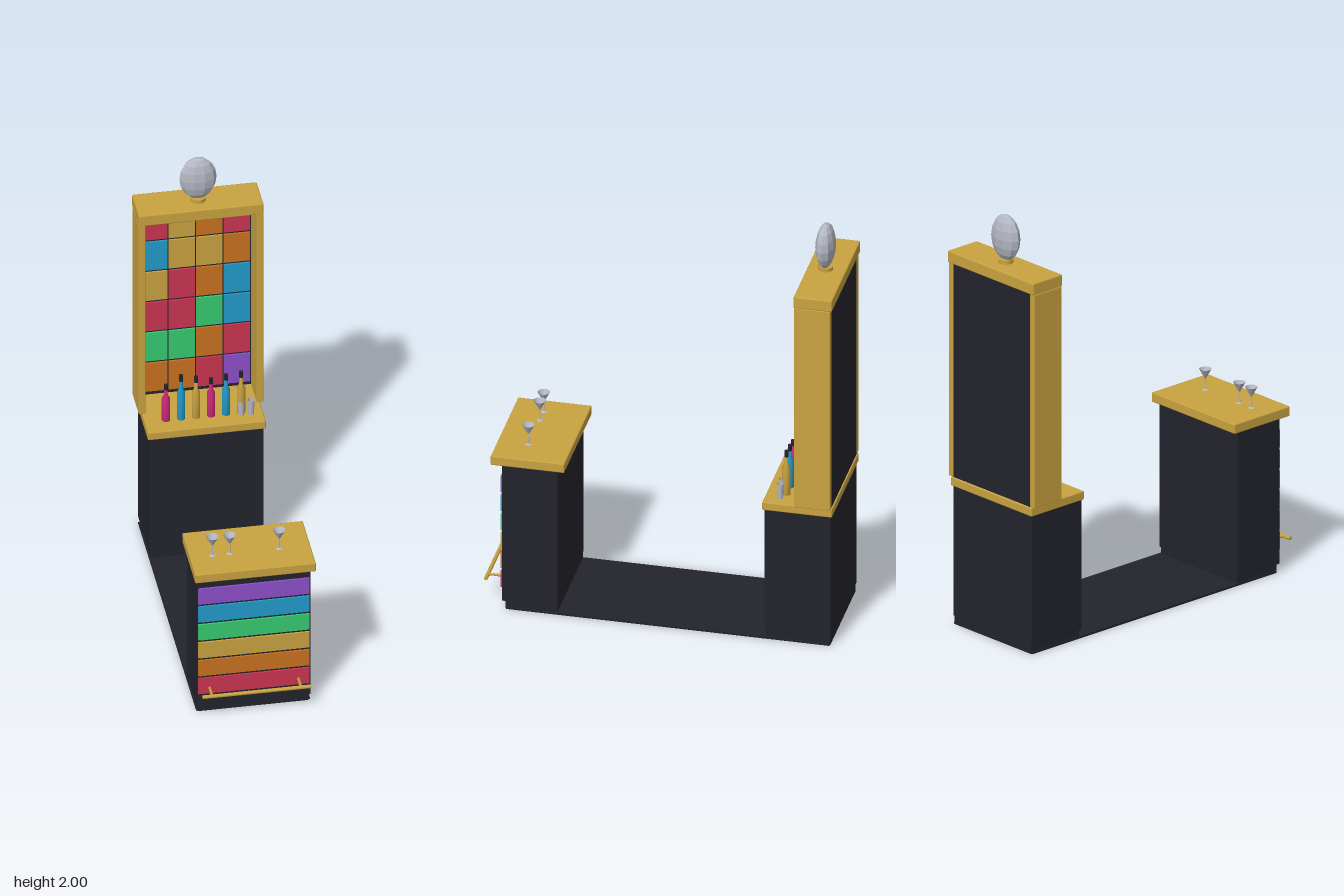
import * as THREE from 'three';
import { RoundedBoxGeometry } from 'three/addons/geometries/RoundedBoxGeometry.js';

const mat = (name, color, extra = {}) => {
  const m = new THREE.MeshStandardMaterial({ color, ...extra });
  m.name = name;
  return m;
};

export function createModel() {
  const root = new THREE.Group();
  root.name = 'cocktailBar';
  const dark = mat('dark lacquer', 0x23232d);
  const gold = mat('gold', 0xc9a340);
  const red = mat('red', 0xcb3550);
  const orange = mat('orange', 0xc97120);
  const green = mat('green', 0x36cb70);
  const blue = mat('blue', 0x229bcb);
  const purple = mat('purple', 0x8e50cb);
  const magenta = mat('magenta', 0xcf2a7c);
  const silver = mat('silver', 0xb4b8c2, { flatShading: true, side: THREE.DoubleSide });

  const add = (name, geo, material, x = 0, y = 0, z = 0, parent = root) => {
    const m = new THREE.Mesh(geo, material);
    m.name = name;
    m.position.set(x, y, z);
    parent.add(m);
    return m;
  };
  // Box given by its extents on each axis; bevel rounds the edges slightly
  const box = (name, material, [x0, x1], [y0, y1], [z0, z1], bevel = 0) => {
    const s = [x1 - x0, y1 - y0, z1 - z0];
    const geo = bevel ? new RoundedBoxGeometry(...s, 1, bevel) : new THREE.BoxGeometry(...s);
    return add(name, geo, material, (x0 + x1) / 2, (y0 + y1) / 2, (z0 + z1) / 2);
  };
  const lathe = (pts, seg) =>
    new THREE.LatheGeometry(pts.map(([r, y]) => new THREE.Vector2(r, y)), seg);

  // Floor slab joining the two counters
  box('floor', dark, [-0.256, 0.256], [0, 0.01], [-0.78, 0.69]);

  // Front bar
  box('barPlinth', dark, [-0.25, 0.25], [0, 0.042], [0.458, 0.695]);
  box('barBody', dark, [-0.256, 0.256], [0.04, 0.735], [0.457, 0.708]);
  box('barTop', gold, [-0.272, 0.272], [0.733, 0.78], [0.422, 0.758], 0.006);
  [red, orange, gold, green, blue, purple].forEach((m, i) => {
    const y = 0.147 + i * 0.0967;
    box('barStripe', m, [-0.25, 0.25], [y - 0.042, y + 0.042], [0.707, 0.716]);
  });

  // Foot rail with two brackets
  add('footRail', new THREE.CylinderGeometry(0.009, 0.009, 0.488, 10), gold, 0, 0.136, 0.785)
    .rotation.z = Math.PI / 2;
  for (const x of [-0.2, 0.2]) {
    add('railBracket', new THREE.CylinderGeometry(0.006, 0.006, 0.08, 8), gold, x, 0.136, 0.745)
      .rotation.x = Math.PI / 2;
  }

  // Stemmed glasses on the bar
  const glass = lathe([[0, 0], [0.014, 0], [0.004, 0.004], [0.003, 0.055], [0.028, 0.1]], 14);
  for (const x of [-0.17, -0.092, 0.131]) add('stemGlass', glass, silver, x, 0.78, 0.617);

  // Back cabinet
  box('cabinetPlinth', dark, [-0.25, 0.25], [0, 0.042], [-0.783, -0.495]);
  box('cabinetBody', dark, [-0.256, 0.256], [0.04, 0.66], [-0.785, -0.485]);
  box('cabinetTop', gold, [-0.266, 0.266], [0.658, 0.70], [-0.795, -0.476], 0.006);

  // Tall display frame
  for (const s of [-1, 1]) {
    const xs = [s * 0.25, s * 0.281].sort((a, b) => a - b);
    box('frameSide', gold, xs, [0.70, 1.716], [-0.79, -0.625], 0.004);
  }
  box('frameTop', gold, [-0.281, 0.281], [1.715, 1.772], [-0.798, -0.622], 0.006);
  box('backPanel', dark, [-0.252, 0.252], [0.70, 1.716], [-0.788, -0.772]);

  // Coloured tiles on the back panel
  const tiles = [
    [red, gold, orange, red],
    [blue, gold, gold, orange],
    [gold, red, orange, blue],
    [red, red, green, blue],
    [green, green, orange, red],
    [orange, orange, red, purple],
  ];
  const tileGeo = new THREE.BoxGeometry(0.119, 0.152, 0.009);
  tiles.forEach((row, r) => row.forEach((m, c) =>
    add('tile', tileGeo, m, (c - 1.5) * 0.124, 1.614 - r * 0.1635, -0.768)));

  // Row of bottles with dark caps
  [[magenta, 0.19], [blue, 0.233], [gold, 0.218], [magenta, 0.2], [blue, 0.213], [gold, 0.22]]
    .forEach(([m, h], i) => {
      const bottle = new THREE.Group();
      bottle.name = 'bottle';
      bottle.position.set(-0.169 + i * 0.0676, 0.70, -0.565);
      root.add(bottle);
      add('bottleGlass', lathe([[0, 0], [0.019, 0], [0.019, h * 0.6], [0.008, h * 0.72],
        [0.008, h * 0.9], [0, h * 0.9]], 12), m, 0, 0, 0, bottle);
      add('bottleCap', new THREE.CylinderGeometry(0.009, 0.009, h * 0.14, 10), dark,
        0, h * 0.93, 0, bottle);
    });

  // Small tumblers
  for (const x of [0.167, 0.211]) {
    add('tumbler', lathe([[0, 0], [0.013, 0], [0.016, 0.074]], 12), silver, x, 0.70, -0.547);
  }

  // Faceted ornament on the frame
  add('ornamentFoot', new THREE.CylinderGeometry(0.034, 0.034, 0.02, 12), gold, 0, 1.78, -0.705);
  add('ornament', new THREE.SphereGeometry(1, 10, 8), silver, 0, 1.892, -0.705)
    .scale.set(0.084, 0.108, 0.044);

  return root;
}
